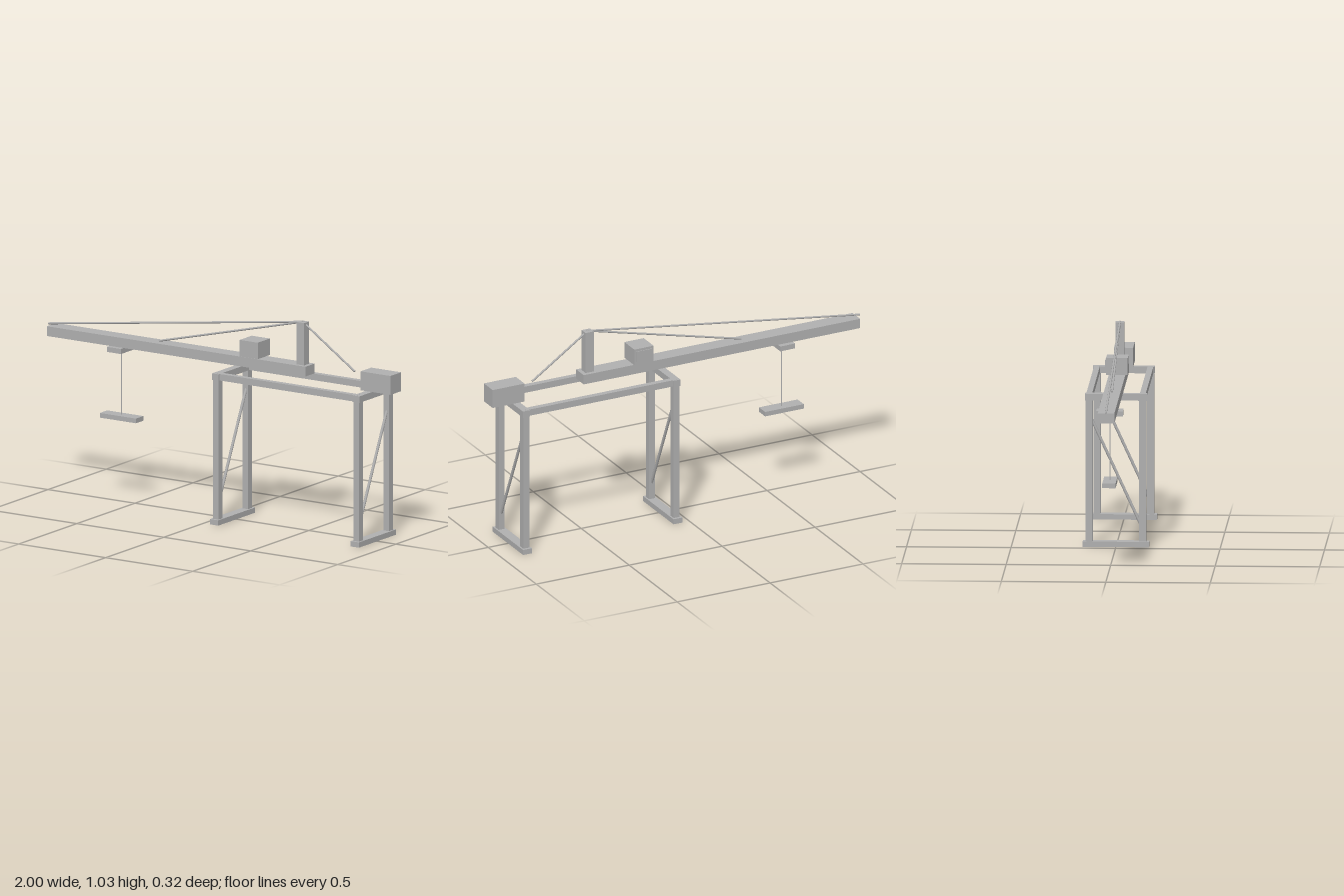
import * as THREE from 'three';

const steel = new THREE.MeshStandardMaterial({ color: 0xb0b0b0 });
steel.name = 'grey steel';

export function createModel() {
  const model = new THREE.Group();
  model.name = 'gantryCrane';

  // Box given by its limits on each axis
  function box(name, [x0, x1], [y0, y1], [z0, z1]) {
    const mesh = new THREE.Mesh(new THREE.BoxGeometry(x1 - x0, y1 - y0, z1 - z0), steel);
    mesh.position.set((x0 + x1) / 2, (y0 + y1) / 2, (z0 + z1) / 2);
    mesh.name = name;
    model.add(mesh);
  }

  // Round bar between two points
  function bar(name, from, to, radius) {
    const a = new THREE.Vector3(...from);
    const b = new THREE.Vector3(...to);
    const dir = b.clone().sub(a);
    const mesh = new THREE.Mesh(new THREE.CylinderGeometry(radius, radius, dir.length(), 8), steel);
    mesh.position.copy(a).add(b).multiplyScalar(0.5);
    mesh.quaternion.setFromUnitVectors(new THREE.Vector3(0, 1, 0), dir.normalize());
    mesh.name = name;
    model.add(mesh);
  }

  // Two portal frames with sills, legs, cross beams and diagonal braces
  for (const x of [0.061, 0.87]) {
    box('sill', [x - 0.024, x + 0.024], [0, 0.026], [-0.159, 0.159]);
    box('crossBeam', [x - 0.019, x + 0.019], [0.709, 0.741], [-0.148, 0.148]);
    for (const z of [-0.128, 0.128]) {
      box('leg', [x - 0.016, x + 0.016], [0.026, 0.709], [z - 0.017, z + 0.017]);
    }
    bar('brace', [x, 0.085, 0.128], [x, 0.64, -0.128], 0.007);
  }

  // Beams joining the portals
  for (const z of [-0.128, 0.128]) {
    box('longBeam', [0.061, 0.87], [0.71, 0.742], [z - 0.014, z + 0.014]);
  }

  // Boom, mast and counterweight
  box('boom', [-0.98, 0.507], [0.766, 0.814], [-0.04, 0.04]);
  box('mast', [0.443, 0.487], [0.814, 1.022], [-0.021, 0.021]);
  box('counterweight', [0.828, 1], [0.743, 0.836], [-0.046, 0.046]);

  // Operator cab with a thin window on the back
  box('cab', [0.137, 0.241], [0.818, 0.899], [-0.052, 0.052]);
  box('cabWindow', [0.148, 0.23], [0.834, 0.887], [-0.056, -0.052]);

  // Stays from the mast head
  for (const [x, y] of [[-0.998, 0.818], [-0.36, 0.818], [0.764, 0.818]]) {
    bar('stay', [0.465, 1.022, 0], [x, y, 0], 0.005);
  }

  // Trolley, hoist rope and spreader
  box('trolley', [-0.618, -0.538], [0.741, 0.766], [-0.064, 0.064]);
  bar('rope', [-0.578, 0.42, 0], [-0.578, 0.745, 0], 0.003);
  box('spreader', [-0.681, -0.473], [0.403, 0.426], [-0.032, 0.032]);

  return model;
}
